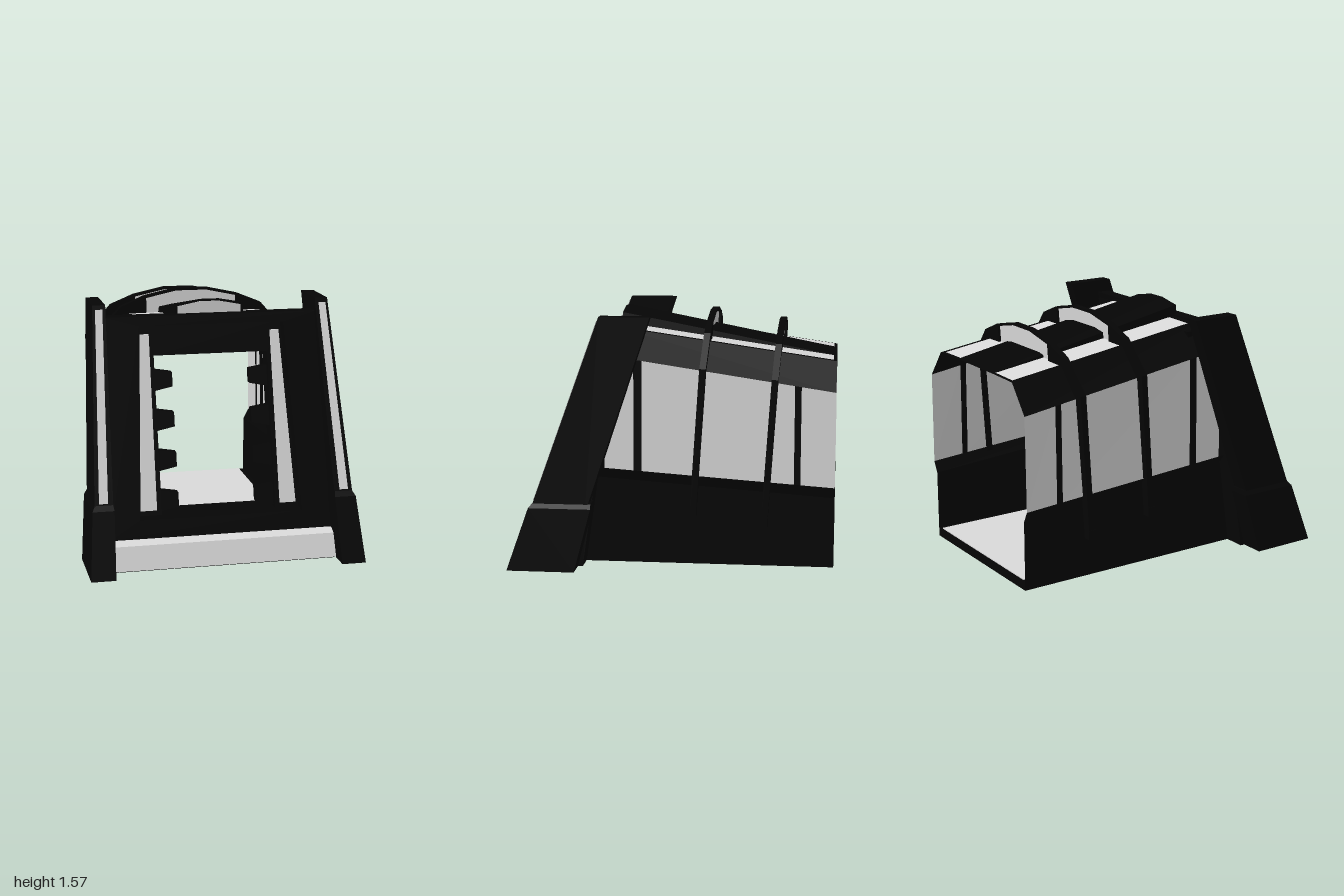
import * as THREE from 'three';
import { ConvexGeometry } from 'three/addons/geometries/ConvexGeometry.js';

const dark = new THREE.MeshStandardMaterial({ color: 0x050505, side: THREE.DoubleSide });
dark.name = 'black metal';
const light = new THREE.MeshStandardMaterial({ color: 0xdadada, side: THREE.DoubleSide });
light.name = 'pale panel';

export function createModel() {
  const root = new THREE.Group();
  root.name = 'coveredGangway';

  function add(name, geo, mat) {
    const m = new THREE.Mesh(geo, mat);
    m.name = name;
    root.add(m);
  }
  function box(name, mat, x0, x1, y0, y1, z0, z1) {
    const g = new THREE.BoxGeometry(x1 - x0, y1 - y0, z1 - z0);
    add(name, g.translate((x0 + x1) / 2, (y0 + y1) / 2, (z0 + z1) / 2), mat);
  }
  // four-cornered surface
  function quad(name, mat, a, b, c, d) {
    const g = new THREE.BufferGeometry();
    g.setAttribute('position', new THREE.Float32BufferAttribute([a, b, c, a, c, d].flat(), 3));
    g.computeVertexNormals();
    add(name, g, mat);
  }
  // solid through stacked rectangles [y, x0, x1, z0, z1]
  function stack(name, mat, levels, s) {
    const pts = [];
    for (const [y, x0, x1, z0, z1] of levels)
      for (const x of [x0, x1]) for (const z of [z0, z1]) pts.push(new THREE.Vector3(s * x, y, z));
    add(name, new ConvexGeometry(pts), mat);
  }
  const path = (pts) => pts.map(([x, y]) => new THREE.Vector2(x, y));
  // plate in x,y leaning backwards: its front lies at zAt(y)
  function leaning(name, mat, outline, hole, depth, zAt) {
    const shape = new THREE.Shape(path(outline));
    if (hole) shape.holes.push(new THREE.Path(path(hole)));
    const g = new THREE.ExtrudeGeometry(shape, { depth, bevelEnabled: false });
    const p = g.attributes.position;
    for (let i = 0; i < p.count; i++) p.setZ(i, p.getZ(i) - depth + zAt(p.getY(i)));
    g.computeVertexNormals();
    add(name, g, mat);
  }
  const trap = (w0, y0, w1, y1) => [[-w0, y0], [w0, y0], [w1, y1], [-w1, y1]];
  const flip = (pts) => pts.map(([x, y]) => [-x, y]).reverse();
  const sides = [-1, 1];

  // Tunnel cross-section, sloping down towards the back; the middle of the
  // roof is a hump that grows towards the front
  function section(z) {
    const roof = 1.28 + 0.143 * (z + 1), hump = 0.067 * (z + 1);
    return [
      [0.56, 0], [0.56, 0.51 + 0.07 * z], [0.607 + 0.012 * z, 0.58 + 0.07 * z],
      [0.595 + 0.008 * z, 1.25 + 0.15 * z], [0.45, roof - 0.005], [0.42, roof - 0.003], [0.22, roof],
      [0.21, roof + 0.7 * hump], [0.06, roof + hump], [0, roof + hump],
    ];
  }
  function strip(name, mat, s, i, z0, z1) {
    const a = section(z0), b = section(z1);
    const v = (p, z) => [s * p[0], p[1], z];
    quad(name, mat, v(a[i], z0), v(a[i + 1], z0), v(b[i + 1], z1), v(b[i], z1));
  }
  for (const s of sides) {
    strip('lowerWall', dark, s, 0, -1, 0.6);
    strip('windowLedge', dark, s, 1, -1, 0.46);
    for (const [z0, z1] of [[-1, -0.79], [-0.75, 0.19], [0.24, 0.42]]) strip('window', light, s, 2, z0, z1);
    for (const [z0, z1] of [[-0.79, -0.75], [0.19, 0.24]]) strip('mullion', dark, s, 2, z0, z1);
    for (const i of [3, 4]) strip('roofShoulder', dark, s, i, -1, 0.36);
    for (const i of [6, 7, 8]) strip('roofHump', dark, s, i, -1, 0.36);
    strip('roofPanel', light, s, 5, -0.98, 0.3);
    for (const [z0, z1] of [[-1, -0.98], [0.3, 0.36]]) strip('roofPanelEnd', dark, s, 5, z0, z1);
  }
  // front end of the hump: dark backing with a pale face
  const humpEnd = section(0.36).slice(6, 9);
  const humpFace = [[0.2, 1.475], [0.2, 1.525], [0.06, 1.552]];
  leaning('humpEnd', dark, [...humpEnd, ...flip(humpEnd)], null, 0.006, () => 0.36);
  leaning('humpEndPanel', light, [...humpFace, ...flip(humpFace)], null, 0.004, () => 0.364);

  // Base and floor
  box('basePlate', dark, -0.56, 0.56, 0, 0.055, -1, 0.6);
  box('frontBasePlate', dark, -0.69, 0.69, 0, 0.004, 0.55, 0.866);
  box('floor', light, -0.525, 0.525, 0.055, 0.062, -0.99, 0.55);

  // Hoops over the tunnel with pale webs under their crowns
  const outer = [[0.645, 0.33], [0.645, 1.24], [0.47, 1.44], [0.31, 1.505], [0.1, 1.55]];
  const inner = [[0.1, 1.535], [0.3, 1.492], [0.3, 1.37], [0.44, 1.36], [0.58, 1.19], [0.59, 0.33]];
  const web = [[0.305, 1.375], [0.305, 1.495], [0.1, 1.54]];
  for (const [z0, drop] of [[-0.11, 0], [-0.55, 0.06]]) {
    const lower = (pts) => pts.map(([x, y]) => [x, y - drop]);
    const zAt = (y) => z0 - 0.066 * (y - 0.33 + drop);
    leaning('hoop', dark, lower([...outer, ...flip(outer), ...flip(inner), ...inner]), null, 0.04, zAt);
    leaning('hoopWeb', light, lower([...web, ...flip(web)]), null, 0.009, (y) => zAt(y) - 0.015);
    for (const s of sides) {
      const x = s * 0.622;
      box('hoopFoot', dark, x - 0.025, x + 0.025, 0.325 - drop, 0.385 - drop, z0 - 0.045, z0 + 0.003);
    }
  }

  // Leaning front portal
  const front = (y) => 0.77 - 0.267 * (y - 0.17);
  const back = (d) => (y) => front(y) - d;
  leaning('portalFrame', dark, trap(0.7, 0.17, 0.67, 1.48), trap(0.51, 0.28, 0.455, 1.42), 0.085, front);
  leaning('innerFrame', dark, trap(0.56, 0.2, 0.5, 1.43), trap(0.36, 0.28, 0.36, 1.23), 0.12, back(0.08));
  box('doorSill', dark, -0.55, 0.55, 0.06, 0.28, 0.49, 0.73);
  for (const s of sides) {
    const mirror = (pts) => pts.map(([x, y]) => [s * x, y]);
    leaning('doorStrip', light, mirror([[0.39, 0.31], [0.493, 0.31], [0.442, 1.36], [0.385, 1.36]]),
      null, 0.008, back(0.074));
    for (const y of [0.36, 0.6, 0.84, 1.08, 1.31])
      leaning('doorTooth', dark, mirror([[0.37, y - 0.07], [0.37, y + 0.06], [0.245, y + 0.04], [0.245, y - 0.045]]),
        null, 0.05, back(0.11));

    // cheek, post and foot beside the portal
    stack('portalCheek', dark, [[0, 0.555, 0.7, 0.55, 0.8], [1.44, 0.56, 0.67, 0.34, 0.42]], s);
    stack('post', dark, [[0.36, 0.69, 0.805, 0.515, 0.86], [1.56, 0.66, 0.74, 0.12, 0.43]], s);
    stack('foot', dark, [[0, 0.7, 0.85, 0.58, 1], [0.39, 0.685, 0.818, 0.48, 0.865],
      [0.42, 0.69, 0.8, 0.48, 0.84]], s);
    const zp = (y) => 0.866 - 0.3583 * (y - 0.36);
    quad('postStrip', light, [s * 0.72, 0.43, zp(0.43)], [s * 0.775, 0.43, zp(0.43)],
      [s * 0.725, 1.535, zp(1.535)], [s * 0.68, 1.535, zp(1.535)]);
  }

  // Pale bumper between the feet
  const bumper = new THREE.Shape(path([[0.869, 0.004], [0.82, 0.145], [0.77, 0.17], [0.6, 0.17], [0.6, 0.004]]));
  const bg = new THREE.ExtrudeGeometry(bumper, { depth: 1.4, bevelEnabled: false });
  add('bumper', bg.rotateY(-Math.PI / 2).translate(0.7, 0, 0), light);

  return root;
}
